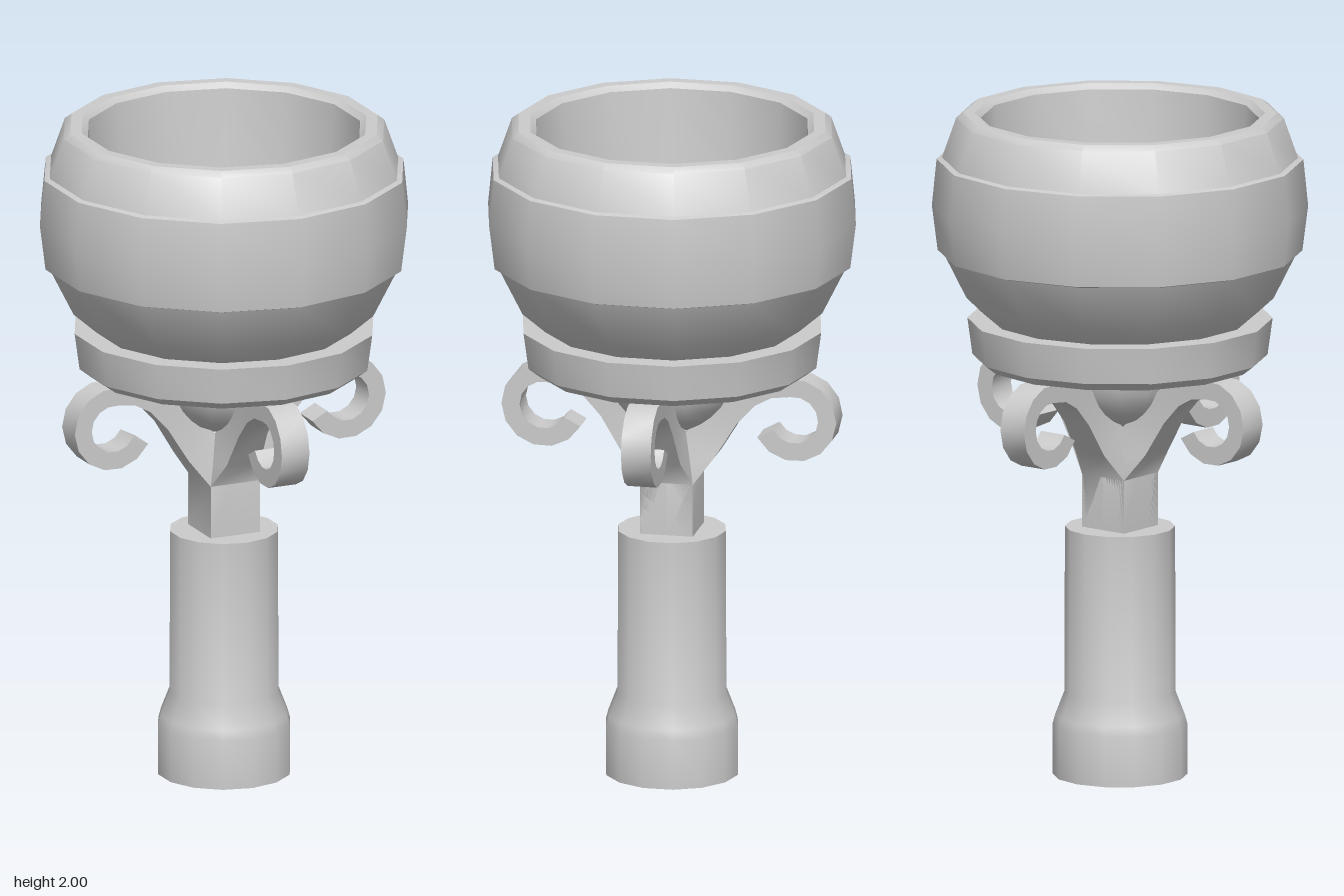
import * as THREE from 'three';
import { toCreasedNormals } from 'three/addons/utils/BufferGeometryUtils.js';

const material = new THREE.MeshStandardMaterial({ color: 0xcccccc });
const SIDES = 14;

function addMesh(parent, name, geometry, crease = 0.6) {
  const mesh = new THREE.Mesh(toCreasedNormals(geometry, crease), material);
  mesh.name = name;
  parent.add(mesh);
  return mesh;
}

// Turned part from [radius, y] pairs, listed up the outside
function turned(profile) {
  return new THREE.LatheGeometry(profile.map(([r, y]) => new THREE.Vector2(r, y)), SIDES);
}

// Four-sided bar through sections { lower, upper, w }: w is half the width in z
function bar(sections) {
  const rings = sections.map(({ lower: [lx, ly], upper: [ux, uy], w }) => [
    [lx, ly, w], [lx, ly, -w], [ux, uy, -w], [ux, uy, w],
  ]);
  const positions = [];
  const quad = (a, b, c, d) => positions.push(...a, ...b, ...c, ...a, ...c, ...d);
  for (let i = 0; i < rings.length - 1; i++) {
    for (let k = 0; k < 4; k++) {
      const n = (k + 1) % 4;
      quad(rings[i][k], rings[i][n], rings[i + 1][n], rings[i + 1][k]);
    }
  }
  quad(...rings[0].slice().reverse());
  quad(...rings[rings.length - 1]);
  const geometry = new THREE.BufferGeometry();
  geometry.setAttribute('position', new THREE.Float32BufferAttribute(positions, 3));
  return geometry;
}

// Stem quarter that bends outward and ends in a scroll
function scrollArm() {
  const sections = [
    { lower: [0.08, 0.74], upper: [0, 0.74], w: 0.08 },
    { lower: [0.08, 0.91], upper: [0, 0.96], w: 0.08 },
    { lower: [0.14, 0.99], upper: [0.05, 1.06], w: 0.055 },
    { lower: [0.205, 1.095], upper: [0.13, 1.145], w: 0.047 },
    { lower: [0.26, 1.155], upper: [0.2, 1.205], w: 0.045 },
    { lower: [0.31, 1.182], upper: [0.28, 1.235], w: 0.045 },
  ];
  const steps = 10;
  for (let i = 0; i <= steps; i++) {
    const angle = THREE.MathUtils.degToRad(100 - (i / steps) * 252);
    const at = (r) => [0.38 + r * Math.cos(angle), 1.118 + r * Math.sin(angle)];
    sections.push({ lower: at(0.072), upper: at(0.127), w: 0.045 });
  }
  return bar(sections);
}

export function createModel() {
  const model = new THREE.Group();
  model.name = 'bowlTorch';

  // Handle with a flared foot
  addMesh(model, 'handle', turned([
    [0, 0], [0.2, 0], [0.2, 0.15], [0.192, 0.18], [0.165, 0.25], [0.163, 0.75], [0, 0.75],
  ]));

  // Four scroll arms that join into a square stem
  const arms = new THREE.Group();
  arms.name = 'scrollArms';
  model.add(arms);
  for (let i = 0; i < 4; i++) {
    addMesh(arms, 'scrollArm', scrollArm(), 0.75).rotation.y = (i * Math.PI) / 2;
  }

  // Round boss under the dish
  const boss = new THREE.SphereGeometry(0.2, SIDES, 8, 0, Math.PI * 2, Math.PI / 2, Math.PI / 2);
  addMesh(model, 'boss', boss).position.y = 1.255;

  // Shallow dish that carries the bowl
  addMesh(model, 'dish', turned([
    [0, 1.245], [0.405, 1.245], [0.437, 1.27], [0.452, 1.38], [0, 1.38],
  ]));

  // Bowl: stepped belly, rounded rim and hollow inside
  addMesh(model, 'bowl', turned([
    [0, 1.375], [0.38, 1.375], [0.455, 1.44], [0.525, 1.58], [0.54, 1.585],
    [0.557, 1.72], [0.543, 1.86], [0.527, 1.865], [0.485, 1.985], [0.465, 2],
    [0.43, 2], [0.412, 1.985], [0.38, 1.6], [0, 1.6],
  ]));

  return model;
}
